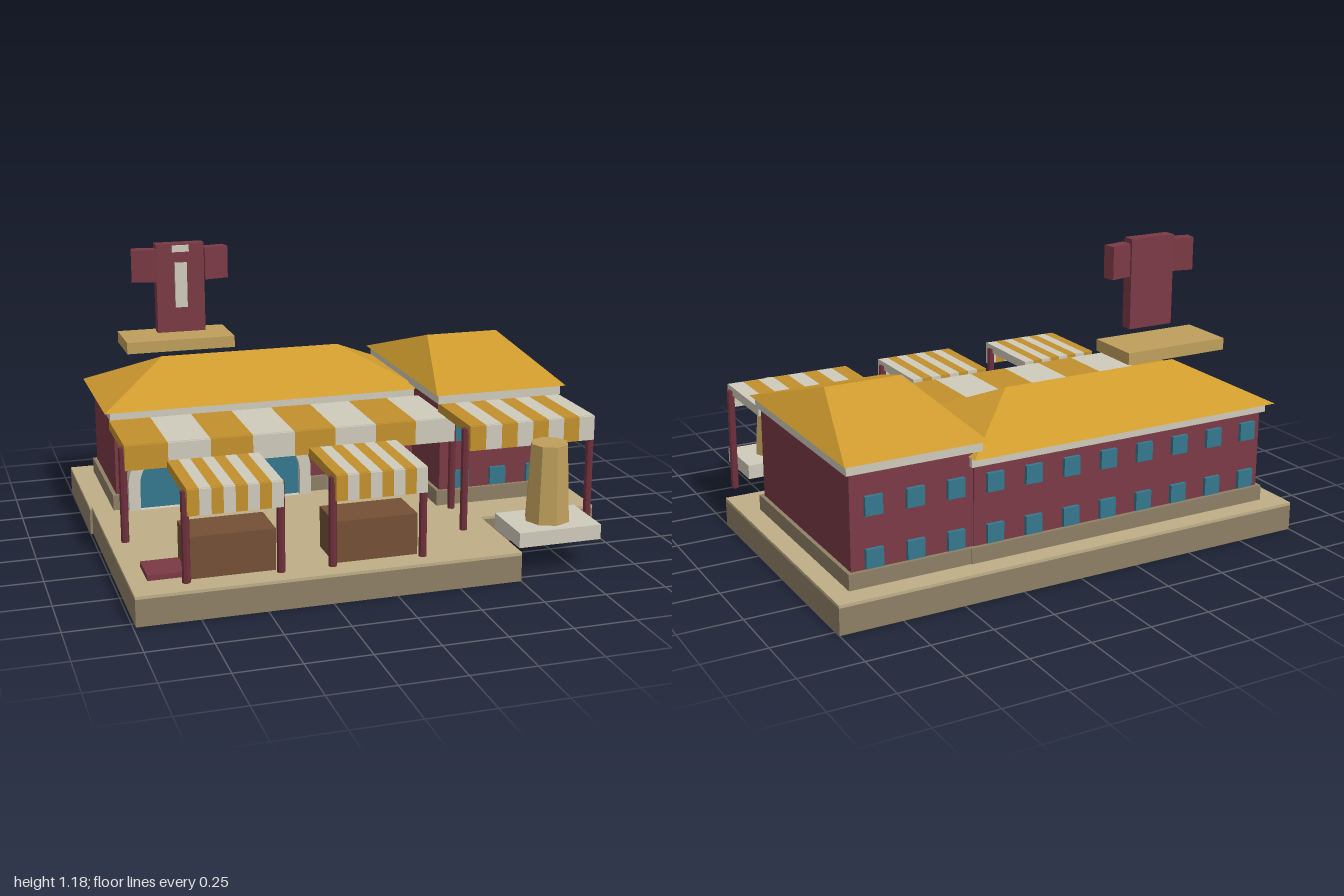
import * as THREE from 'three';

const mat = (color) => new THREE.MeshStandardMaterial({ color, flatShading: true });
const M = {
  stone: mat(0x8f7f66), paving: mat(0xbfaf87), wall: mat(0x7b3a45), roof: mat(0xcf9b2e),
  cream: mat(0xcfcabb), glass: mat(0x35788e), wood: mat(0x755036), tan: mat(0xbf9f5c),
  gold: mat(0xc3912d), post: mat(0x6f303c),
};

function add(parent, name, geometry, material) {
  const mesh = new THREE.Mesh(geometry, material);
  mesh.name = name;
  parent.add(mesh);
  return mesh;
}

// Box given by its extents along each axis
function box(parent, name, material, [x0, x1], [y0, y1], [z0, z1]) {
  const mesh = add(parent, name, new THREE.BoxGeometry(x1 - x0, y1 - y0, z1 - z0), material);
  mesh.position.set((x0 + x1) / 2, (y0 + y1) / 2, (z0 + z1) / 2);
  return mesh;
}

// Hip roof: rectangular eaves rising to a ridge along x
function hipRoof(parent, name, [x0, x1], [z0, z1], [r0, r1], rz, y0, y1) {
  const a = [x0, y0, z1], b = [x1, y0, z1], c = [x1, y0, z0], d = [x0, y0, z0];
  const l = [r0, y1, rz], r = [r1, y1, rz];
  const tris = [a, b, r, a, r, l, c, d, l, c, l, r, b, c, r, d, a, l, a, d, c, a, c, b];
  const g = new THREE.BufferGeometry();
  g.setAttribute('position', new THREE.Float32BufferAttribute(tris.flat(), 3));
  g.computeVertexNormals();
  add(parent, name, g, M.roof);
}

// Flat striped canopy with a front valance and two posts
function canopy(parent, name, [x0, x1], [z0, z1], top, posts, postZ, postTop) {
  const g = new THREE.Group();
  g.name = name;
  parent.add(g);
  const n = 8, w = (x1 - x0) / n;
  for (let i = 0; i < n; i++) {
    const m = i % 2 ? M.cream : M.gold, xs = [x0 + i * w, x0 + (i + 1) * w];
    box(g, 'canopyStripe', m, xs, [top - 0.037, top], [z0, z1]);
    box(g, 'valanceStripe', m, xs, [top - 0.1, top - 0.002], [z1 - 0.008, z1 + 0.01]);
  }
  for (const x of posts) {
    const h = postTop - 0.11;
    add(g, 'post', new THREE.CylinderGeometry(0.016, 0.016, h, 8), M.post)
      .position.set(x, 0.11 + h / 2, postZ);
  }
}

// Walls with plinth and cornice
function block(parent, name, [x0, x1], [z0, z1], wallTop, eaves) {
  const g = new THREE.Group();
  g.name = name;
  parent.add(g);
  const e = 0.016, xs = [x0 - e, x1 + e], zs = [z0 - e, z1 + e];
  box(g, 'plinth', M.stone, xs, [0.11, 0.18], zs);
  box(g, 'walls', M.wall, [x0, x1], [0.18, wallTop], [z0, z1]);
  box(g, 'cornice', M.cream, xs, [wallTop, eaves], zs);
  return g;
}

function windows(parent, xs, ys, z) {
  for (const x of xs) for (const y of ys)
    box(parent, 'window', M.glass, [x - 0.035, x + 0.035], [y - 0.037, y + 0.037], [z - 0.015, z + 0.015]);
}

// Round-headed outline standing on y = 0.12
function archOutline(path, r) {
  path.moveTo(-r, 0.12);
  path.lineTo(r, 0.12);
  path.lineTo(r, 0.23);
  path.absarc(0, 0.23, r, 0, Math.PI, false);
  path.lineTo(-r, 0.12);
  return path;
}

// L-shaped slab in plan
function slab(parent, name, material, y0, y1) {
  const plan = [[-1, -0.785], [1, -0.785], [1, 0.365], [0.5, 0.365], [0.5, 0.785],
    [-0.99, 0.785], [-0.99, -0.22], [-1, -0.22]];
  const shape = new THREE.Shape(plan.map(([x, z]) => new THREE.Vector2(x, -z)));
  const g = new THREE.ExtrudeGeometry(shape, { depth: y1 - y0, bevelEnabled: false });
  g.rotateX(-Math.PI / 2);
  add(parent, name, g, material).position.y = y0;
}

export function createModel() {
  const model = new THREE.Group();
  model.name = 'marketHall';

  // Ground
  slab(model, 'foundation', M.stone, 0, 0.105);
  slab(model, 'paving', M.paving, 0.105, 0.117);

  // Main hall and right wing
  const hall = block(model, 'mainHall', [-0.895, 0.41], [-0.685, -0.17], 0.497, 0.535);
  hipRoof(hall, 'hallRoof', [-0.935, 0.43], [-0.73, -0.135], [-0.64, 0.135], -0.432, 0.535, 0.685);
  const wing = block(model, 'wing', [0.395, 0.905], [-0.68, 0.165], 0.553, 0.595);
  hipRoof(wing, 'wingRoof', [0.365, 0.935], [-0.72, 0.205], [0.49, 0.81], -0.257, 0.595, 0.74);

  // Windows
  const rows = [0.223, 0.425];
  const hallX = Array.from({ length: 8 }, (_, i) => -0.83 + i * 0.165);
  const wingX = [0.485, 0.65, 0.815];
  windows(hall, hallX, rows, -0.685);
  windows(hall, hallX, [rows[1]], -0.17);
  windows(wing, wingX, rows, -0.68);
  windows(wing, wingX, rows, 0.165);

  // Arcade of glazed arches
  const ring = archOutline(new THREE.Shape(), 0.172);
  const opening = new THREE.Path([[-0.124, 0.1201], [0.124, 0.1201], [0.124, 0.23]].map((p) => new THREE.Vector2(...p)));
  opening.absarc(0, 0.23, 0.124, 0, Math.PI, false);
  ring.holes.push(opening);
  const pane = archOutline(new THREE.Shape(), 0.13);
  for (const x of [-0.68, -0.25, 0.175]) {
    const opts = { bevelEnabled: false, curveSegments: 12 };
    add(hall, 'archSurround', new THREE.ExtrudeGeometry(ring, { ...opts, depth: 0.055 }), M.cream)
      .position.set(x, 0, -0.17);
    add(hall, 'archGlass', new THREE.ExtrudeGeometry(pane, { ...opts, depth: 0.03 }), M.glass)
      .position.set(x, 0, -0.17);
  }

  // Canopies
  canopy(model, 'hallCanopy', [-0.925, 0.42], [-0.1, 0.255], 0.517, [-0.927, 0.427], 0.222, 0.5);
  canopy(model, 'wingCanopy', [0.385, 0.915], [0.165, 0.51], 0.553, [0.38, 0.918], 0.478, 0.535);

  // Market stalls
  for (const x of [-0.608, -0.053]) {
    canopy(model, 'stallCanopy', [x - 0.178, x + 0.178], [0.39, 0.74], 0.485, [x - 0.178, x + 0.178], 0.703, 0.467);
    box(model, 'stallCounter', M.wood, [x - 0.165, x + 0.165], [0.115, 0.28], [0.49, 0.68]);
  }
  box(model, 'mat', M.wall, [-0.92, -0.77], [0.115, 0.138], [0.5, 0.65]);

  // Tapered column on its pedestal
  box(model, 'pedestal', M.cream, [0.503, 0.845], [0.122, 0.182], [0.507, 0.752]);
  add(model, 'column', new THREE.CylinderGeometry(0.075, 0.091, 0.312, 8), M.tan)
    .position.set(0.673, 0.338, 0.625);

  // Rooftop robe sign
  const sign = new THREE.Group();
  sign.name = 'robeSign';
  model.add(sign);
  box(sign, 'signPlatform', M.tan, [-0.805, -0.35], [0.732, 0.78], [-0.547, -0.315]);
  box(sign, 'robeBody', M.wall, [-0.675, -0.475], [0.815, 1.183], [-0.363, -0.31]);
  box(sign, 'robePanel', M.cream, [-0.6, -0.55], [0.92, 1.105], [-0.315, -0.298]);
  box(sign, 'robeCollar', M.cream, [-0.61, -0.54], [1.15, 1.177], [-0.315, -0.3]);
  for (const s of [-1, 1]) {
    const x = -0.575 + s * 0.146;
    box(sign, 'robeSleeve', M.wall, [x - 0.051, x + 0.051], [1.03, 1.163], [-0.362, -0.309])
      .rotation.y = s * 0.2;
  }
  return model;
}
